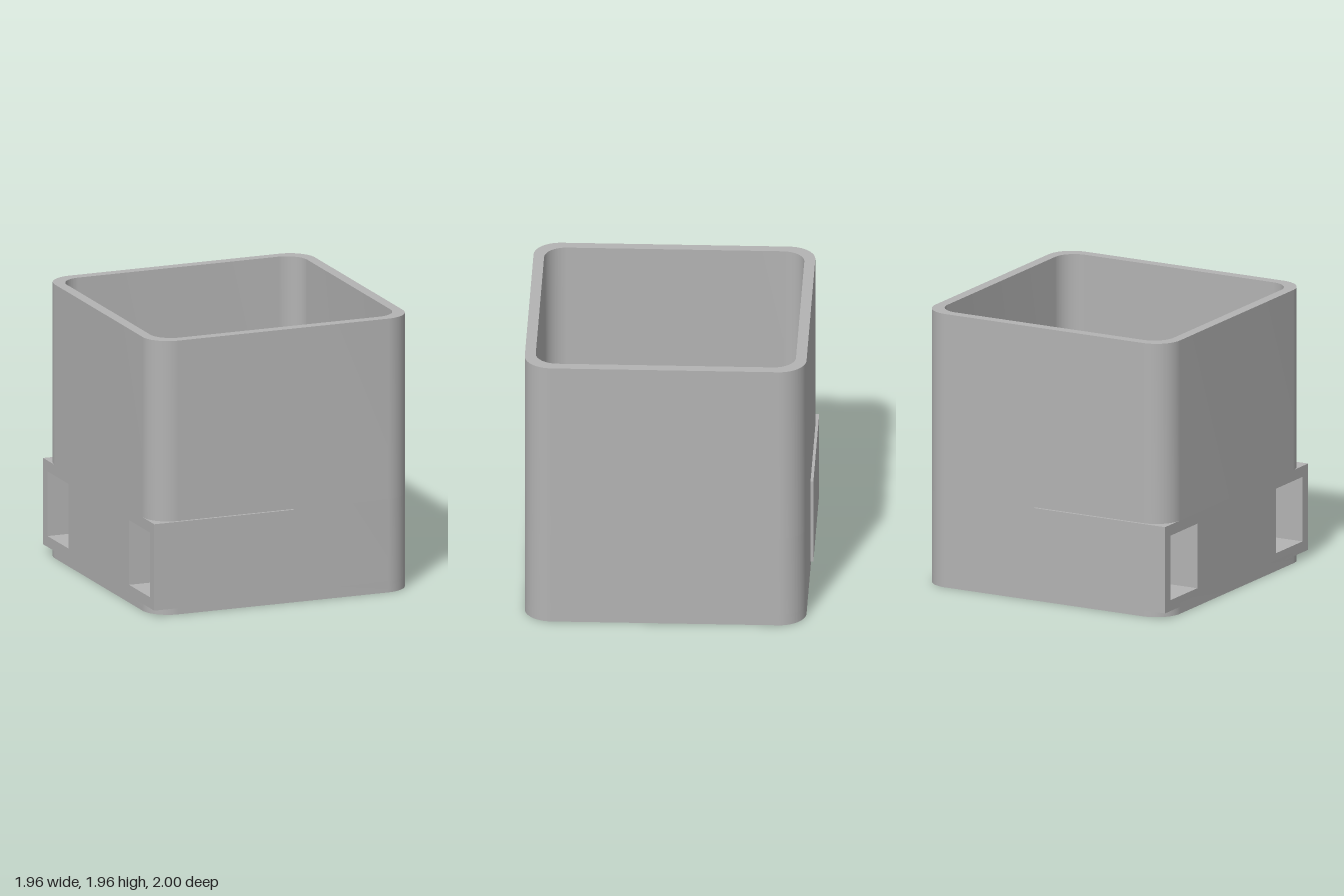
import * as THREE from 'three';
import { toCreasedNormals } from 'three/addons/utils/BufferGeometryUtils.js';

const HALF = 0.98, INNER = 0.905, R_OUT = 0.19, R_IN = 0.155;
const HEIGHT = 1.965, FLOOR = 0.08;
const SOCKET = { y0: 0.05, y1: 0.67, z0: 0.47, z1: 1, end: 0.075, wall: 0.078 };

// Rounded square outline; works for Shape and Path
function roundedSquare(p, h, r) {
  p.moveTo(h, -h + r);
  p.lineTo(h, h - r);
  p.absarc(h - r, h - r, r, 0, Math.PI / 2);
  p.lineTo(-h + r, h);
  p.absarc(-h + r, h - r, r, Math.PI / 2, Math.PI);
  p.lineTo(-h, -h + r);
  p.absarc(-h + r, -h + r, r, Math.PI, Math.PI * 1.5);
  p.lineTo(h - r, -h);
  p.absarc(h - r, -h + r, r, Math.PI * 1.5, Math.PI * 2);
  return p;
}

// Extrude a plan shape upward from y0 to y1
function extrudeUp(shape, y0, y1) {
  const g = new THREE.ExtrudeGeometry(shape, { depth: y1 - y0, bevelEnabled: false, curveSegments: 16 });
  g.rotateX(-Math.PI / 2).translate(0, y0, 0);
  return toCreasedNormals(g, 0.5);
}

export function createModel() {
  const model = new THREE.Group();
  const grey = new THREE.MeshStandardMaterial({ color: 0xb3b3b3 });
  grey.name = 'plain grey';
  const add = (parent, name, geometry) => {
    const mesh = new THREE.Mesh(geometry, grey);
    mesh.name = name;
    parent.add(mesh);
    return mesh;
  };

  // Floor and full ring of wall above the sockets
  add(model, 'floor', extrudeUp(roundedSquare(new THREE.Shape(), HALF, R_OUT), 0, FLOOR));
  const ring = roundedSquare(new THREE.Shape(), HALF, R_OUT);
  ring.holes.push(roundedSquare(new THREE.Path(), INNER, R_IN));
  add(model, 'upperWall', extrudeUp(ring, SOCKET.y1, HEIGHT));

  // Lower wall: a U on the left, stopping inside the closed ends of the sockets
  const stop = 0.04, q = Math.PI / 2;
  const u = new THREE.Shape();
  u.moveTo(stop, -HALF);
  u.lineTo(HALF - R_OUT, -HALF);
  u.absarc(HALF - R_OUT, -HALF + R_OUT, R_OUT, -q, 0);
  u.lineTo(HALF, HALF - R_OUT);
  u.absarc(HALF - R_OUT, HALF - R_OUT, R_OUT, 0, q);
  u.lineTo(stop, HALF);
  u.lineTo(stop, INNER);
  u.lineTo(INNER - R_IN, INNER);
  u.absarc(INNER - R_IN, INNER - R_IN, R_IN, q, 0, true);
  u.lineTo(INNER, -INNER + R_IN);
  u.absarc(INNER - R_IN, -INNER + R_IN, R_IN, 0, -q, true);
  u.lineTo(stop, -INNER);
  add(model, 'lowerWall', extrudeUp(u, FLOOR, SOCKET.y1));

  // Lower wall between the two socket mouths
  const t = HALF - INNER;
  add(model, 'wallBetweenSockets', new THREE.BoxGeometry(t, SOCKET.y1 - FLOOR, SOCKET.z0 * 2)
    .translate(-HALF + t / 2, (SOCKET.y1 + FLOOR) / 2, 0));

  // Rectangular sockets, open on the right side and closed at the inner end
  const w = SOCKET.z1 - SOCKET.z0, h = SOCKET.y1 - SOCKET.y0;
  const rect = (p, a, b) => p.moveTo(-a, -b).lineTo(a, -b).lineTo(a, b).lineTo(-a, b).closePath();
  const frame = new THREE.Shape();
  rect(frame, w / 2, h / 2);
  const mouth = new THREE.Path();
  rect(mouth, w / 2 - SOCKET.wall, h / 2 - SOCKET.wall);
  frame.holes.push(mouth);
  const sleeve = new THREE.ExtrudeGeometry(frame, { depth: HALF, bevelEnabled: false });
  sleeve.rotateY(Math.PI / 2).translate(-HALF, 0, 0);
  const cap = new THREE.BoxGeometry(SOCKET.end, h, w).translate(SOCKET.end / 2, 0, 0);
  for (const side of [1, -1]) {
    const socket = new THREE.Group();
    socket.name = side > 0 ? 'frontSocket' : 'backSocket';
    socket.position.set(0, (SOCKET.y0 + SOCKET.y1) / 2, side * (SOCKET.z0 + SOCKET.z1) / 2);
    add(socket, 'socketSleeve', sleeve);
    add(socket, 'socketEnd', cap);
    model.add(socket);
  }
  return model;
}
